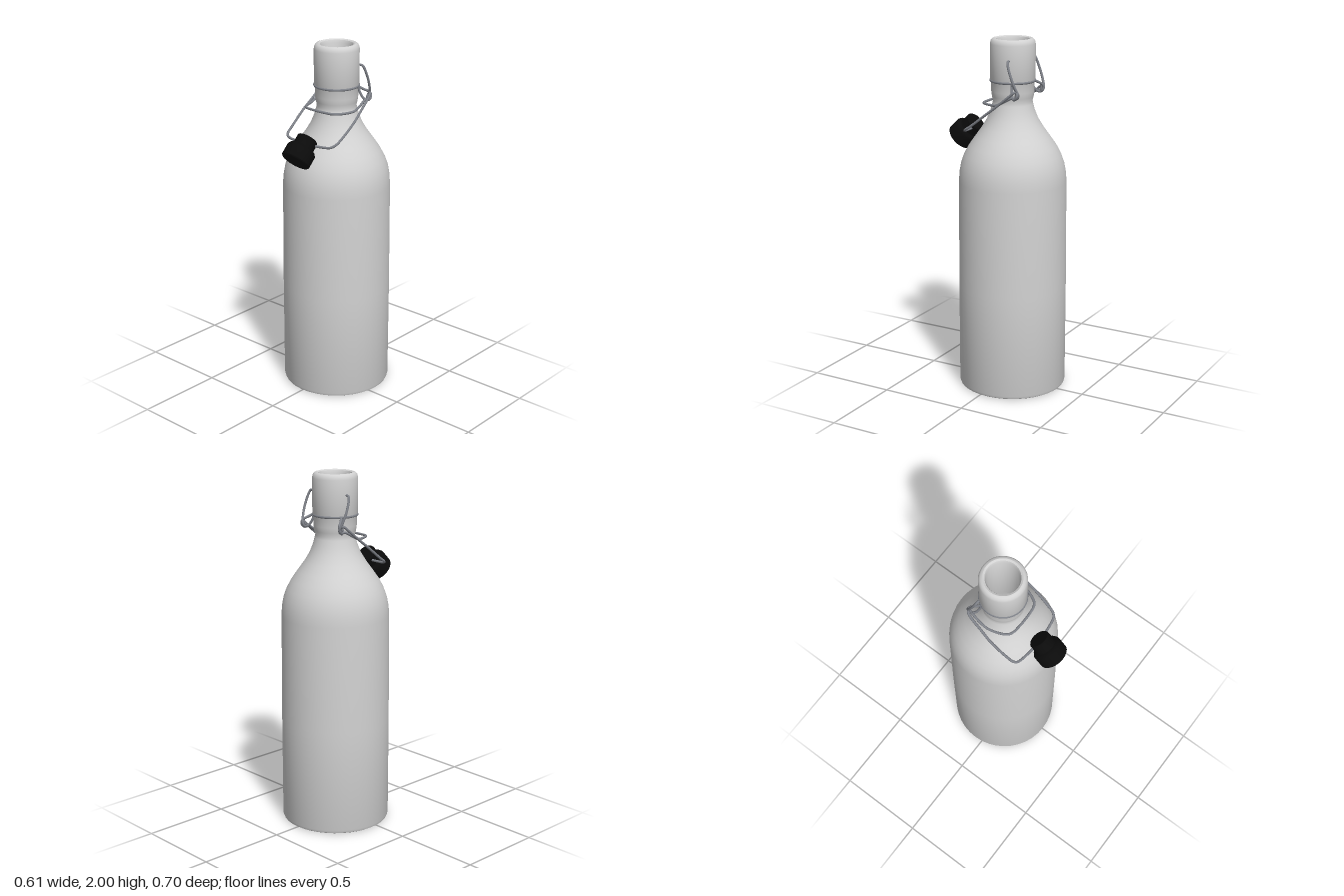
import * as THREE from 'three';
import { toCreasedNormals } from 'three/addons/utils/BufferGeometryUtils.js';

export function createModel() {
  const model = new THREE.Group();
  const material = (name, color) => {
    const m = new THREE.MeshStandardMaterial({ color });
    m.name = name;
    return m;
  };
  const ceramic = material('pale ceramic', 0xd2d2d2);
  const steel = material('steel wire', 0x80838a);
  const rubber = material('black rubber', 0x0b0b0b);

  const AXIS_Z = -0.045; // the bottle stands behind the centre, the stopper hangs in front
  const WIRE = 0.007;

  function add(name, geometry, mat, parent = model) {
    const mesh = new THREE.Mesh(geometry, mat);
    mesh.name = name;
    parent.add(mesh);
    return mesh;
  }
  function lathe(profile, segments) {
    const points = profile.map(([r, y]) => new THREE.Vector2(r, y));
    return toCreasedNormals(new THREE.LatheGeometry(points, segments), 0.6);
  }
  // round wire through points, with rounded ends
  function wire(name, points, parent) {
    const path = points.map((p) => new THREE.Vector3(...p));
    const curve = new THREE.CatmullRomCurve3(path, false, 'centripetal');
    add(name, new THREE.TubeGeometry(curve, points.length * 8, WIRE, 8), steel, parent);
    for (const end of [path[0], path[path.length - 1]]) {
      add(name + 'End', new THREE.SphereGeometry(WIRE, 8, 6), steel, parent).position.copy(end);
    }
  }
  // left half of a symmetric wire, joined to its mirror image
  const mirrored = (half) => [...half, ...half.filter((p) => p[0] !== 0).reverse().map(([x, y, z]) => [-x, y, z])];

  // bottle: outside from base to lip, then the hollow inside
  const bottle = add('bottle', lathe([
    [0, 0], [0.292, 0], [0.3, 0.005], [0.305, 0.02], [0.305, 0.6], [0.301, 1.2],
    [0.298, 1.25], [0.288, 1.305], [0.27, 1.355], [0.243, 1.405], [0.208, 1.455],
    [0.172, 1.505], [0.142, 1.555], [0.122, 1.605], [0.113, 1.64], [0.109, 1.657],
    [0.115, 1.68], [0.119, 1.71], [0.12, 1.765], [0.125, 1.778], [0.125, 1.97],
    [0.121, 1.987], [0.112, 1.997], [0.102, 2], [0.092, 1.995], [0.086, 1.98],
    [0.086, 1.6], [0.12, 1.52], [0.2, 1.41], [0.265, 1.25], [0.27, 0.04], [0, 0.04],
  ], 40), ceramic);
  bottle.position.z = AXIS_Z;

  // clamp ring round the neck
  const collar = add('collarRing', new THREE.TorusGeometry(0.122, WIRE, 8, 40), steel);
  collar.rotation.x = Math.PI / 2;
  collar.position.set(0, 1.768, AXIS_Z);

  // side eyelets twisted out of the ring
  for (const s of [-1, 1]) {
    wire(s > 0 ? 'leftEyelet' : 'rightEyelet', [
      [s * 0.108, 1.766, -0.1], [s * 0.125, 1.75, -0.122], [s * 0.145, 1.732, -0.15],
      [s * 0.153, 1.71, -0.155], [s * 0.151, 1.69, -0.14], [s * 0.138, 1.694, -0.12],
      [s * 0.118, 1.73, -0.105], [s * 0.11, 1.76, -0.1],
    ]);
  }

  // lever: hooked uprights, pivots and the low loop round the neck
  const bails = new THREE.Group();
  bails.name = 'wireBails';
  bails.position.x = -0.006;
  model.add(bails);
  wire('lever', mirrored([
    [0.136, 1.892, -0.092], [0.15, 1.888, -0.094], [0.16, 1.865, -0.102], [0.165, 1.8, -0.126],
    [0.158, 1.75, -0.145], [0.147, 1.715, -0.157], [0.143, 1.695, -0.148],
    [0.15, 1.696, -0.12], [0.155, 1.665, -0.06], [0.151, 1.648, -0.02], [0.133, 1.645, 0.04],
    [0.112, 1.645, 0.076], [0.088, 1.645, 0.09], [0.05, 1.645, 0.095], [0, 1.645, 0.097],
  ]), bails);

  // long bail carrying the stopper
  wire('stopperBail', mirrored([
    [0.145, 1.705, -0.14], [0.151, 1.727, -0.148], [0.165, 1.73, -0.14], [0.173, 1.712, -0.12],
    [0.18, 1.655, -0.05], [0.187, 1.6, 0.02], [0.181, 1.525, 0.12], [0.175, 1.503, 0.155],
    [0.16, 1.491, 0.173], [0.138, 1.486, 0.18], [0.055, 1.482, 0.191], [0, 1.482, 0.193],
  ]), bails);

  // stopper, tilted forward with its wide end down
  const stopper = add('stopper', lathe([
    [0, 0], [0.077, 0], [0.083, 0.006], [0.083, 0.07], [0.076, 0.083],
    [0.063, 0.09], [0.06, 0.1], [0.059, 0.142], [0.054, 0.148], [0, 0.148],
  ], 32), rubber);
  stopper.position.set(0, 1.408, 0.294);
  stopper.rotation.x = -Math.PI / 4;

  return model;
}
